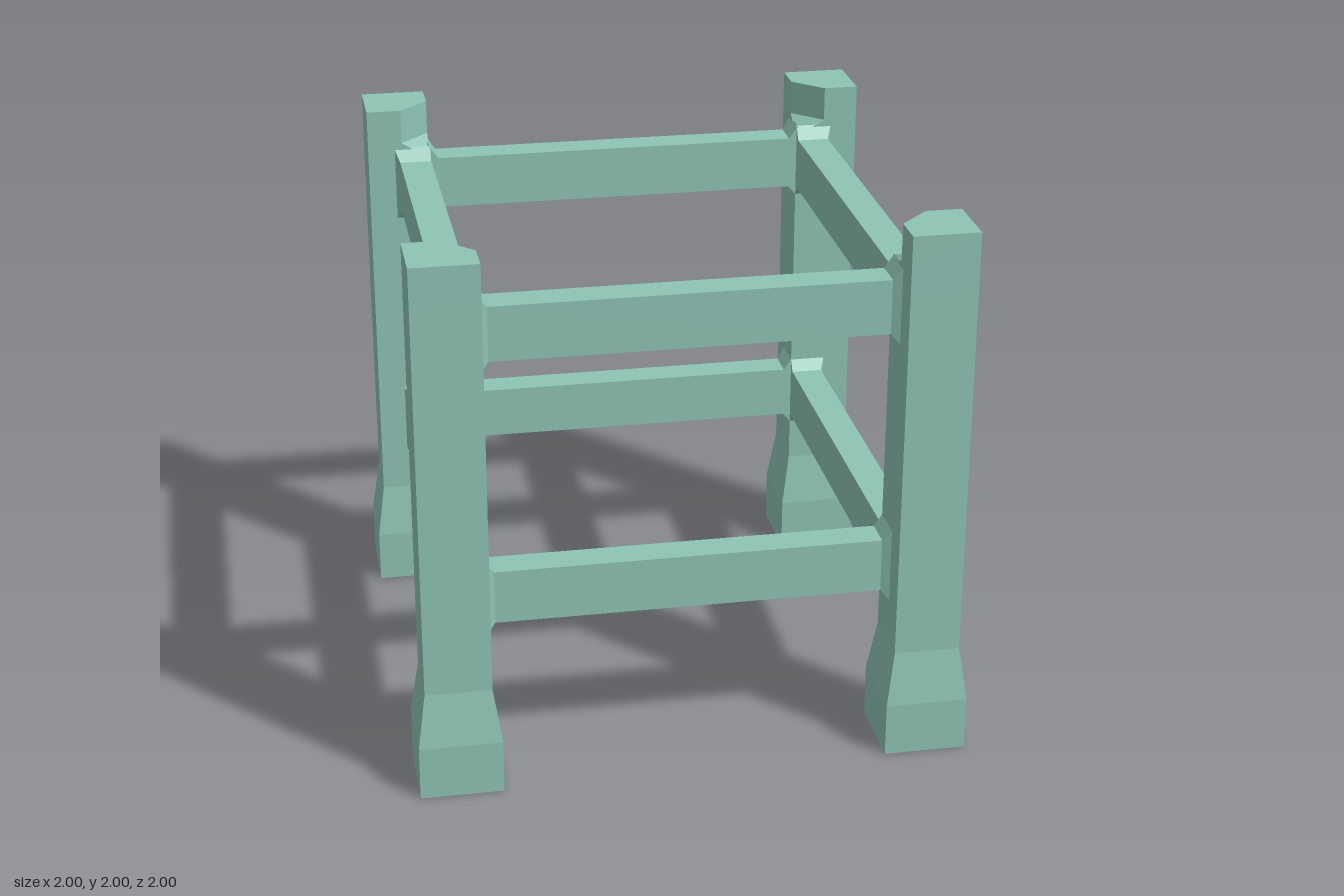
import * as THREE from 'three';

const material = new THREE.MeshStandardMaterial({ color: 0x8fc4b5, flatShading: true });

// Closed solid from rings of [x, y, z], each counter-clockwise seen from the far end
function loft(rings) {
  const n = rings[0].length, last = (rings.length - 1) * n, index = [];
  for (let r = 0; r < rings.length - 1; r++) {
    for (let k = 0; k < n; k++) {
      const a = r * n + k, b = r * n + (k + 1) % n;
      index.push(a, b, b + n, a, b + n, a + n);
    }
  }
  for (let k = 1; k < n - 1; k++) {
    index.push(0, k + 1, k, last, last + k, last + k + 1);
  }
  const geometry = new THREE.BufferGeometry();
  geometry.setAttribute('position', new THREE.Float32BufferAttribute(rings.flat(2), 3));
  geometry.setIndex(index);
  geometry.computeVertexNormals();
  return geometry;
}

// Square post section from i to o in x and z, with its inner corner cut by c
const postRing = (y, i, o, c) =>
  [[o, y, o], [o, y, i], [i + c, y, i], [i, y, i + c], [i, y, o]];

// Rail section at x
const railRing = (x, y0, y1, z0, z1) =>
  [[x, y0, z1], [x, y0, z0], [x, y1, z0], [x, y1, z1]];

// Rail with ends that flare where they meet the posts
function railGeometry(y) {
  const flared = x => railRing(x, y - 0.04, y + 0.25, 0.73, 0.87);
  const plain = x => railRing(x, y, y + 0.2, 0.73, 0.85);
  return loft([flared(-0.735), plain(-0.7), plain(0.7), flared(0.735)]);
}

export function createModel() {
  const model = new THREE.Group();
  model.name = 'standFrame';

  // Post: wide foot, taper, shaft, and a cut inner corner above the top rail
  const post = loft([
    postRing(0, 0.7, 1, 0),
    postRing(0.2, 0.7, 1, 0),
    postRing(0.4, 0.73, 0.97, 0),
    postRing(1.8, 0.73, 0.97, 0),
    postRing(1.87, 0.73, 0.97, 0.11),
    postRing(2, 0.73, 0.97, 0.11),
  ]);
  const parts = { post, lowerRail: railGeometry(0.6), upperRail: railGeometry(1.6) };

  // One post and two rails for each side
  for (const [k, side] of ['front', 'left', 'back', 'right'].entries()) {
    const group = new THREE.Group();
    group.name = side + 'Side';
    group.rotation.y = k * Math.PI / 2;
    for (const [name, geometry] of Object.entries(parts)) {
      const mesh = new THREE.Mesh(geometry, material);
      mesh.name = name;
      group.add(mesh);
    }
    model.add(group);
  }
  return model;
}
